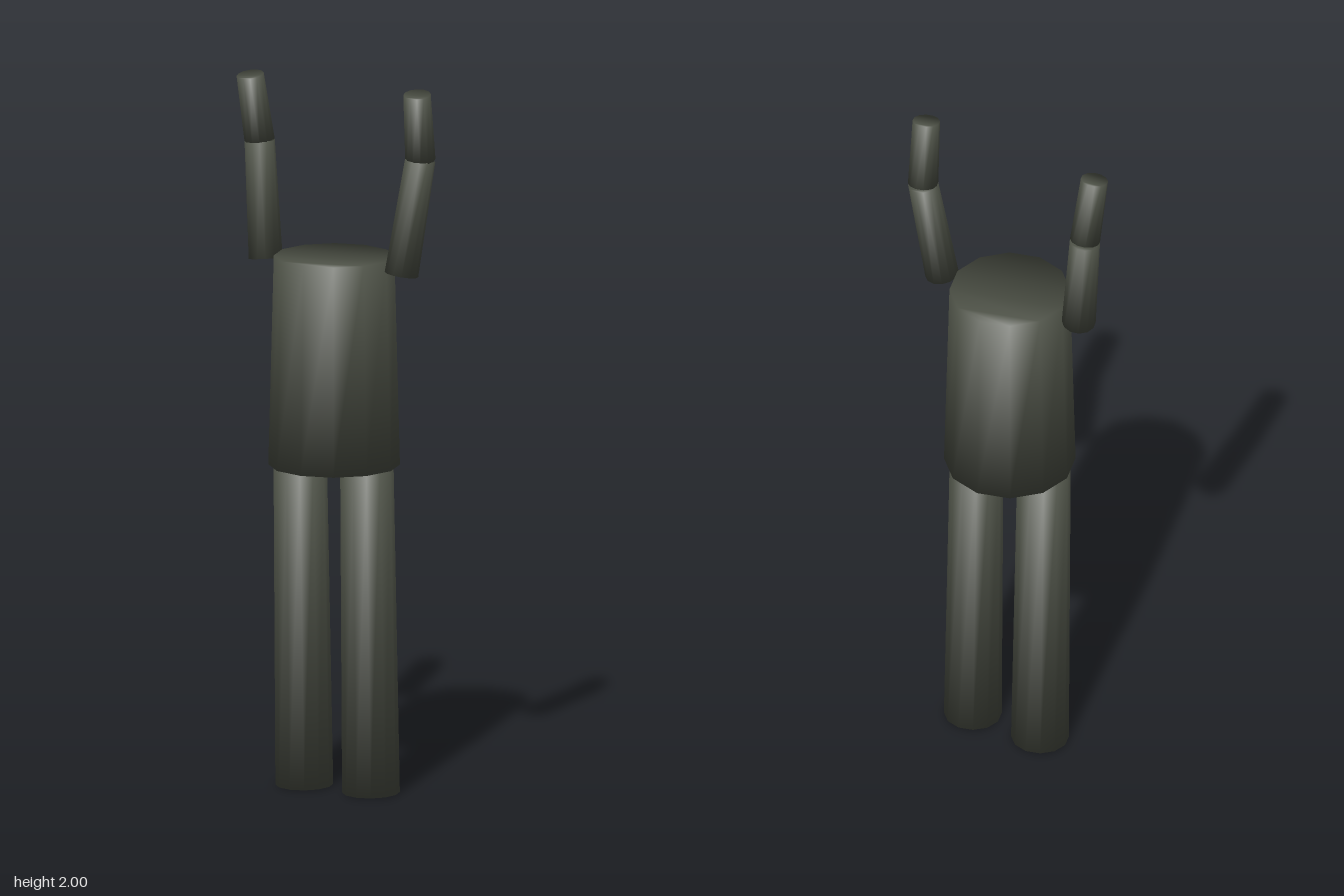
import * as THREE from 'three';

const SIDES = 12;

// Tapered, softly shaded limb from point a to point b, with rim normals shared by side and caps
function limb(name, a, b, ra, rb, material) {
  const start = new THREE.Vector3(...a), end = new THREE.Vector3(...b);
  const axis = end.clone().sub(start);
  const length = axis.length();
  const pos = [], nor = [], index = [];
  [[ra, 0, -0.8], [rb, length, 0.8]].forEach(([r, y, tilt]) => {
    for (let i = 0; i < SIDES; i++) {
      const t = (i / SIDES) * Math.PI * 2;
      const n = new THREE.Vector3(Math.sin(t), tilt, Math.cos(t)).normalize();
      pos.push(r * Math.sin(t), y, r * Math.cos(t));
      nor.push(n.x, n.y, n.z);
    }
  });
  for (let i = 0; i < SIDES; i++) {
    const j = (i + 1) % SIDES;
    index.push(i, j, SIDES + j, i, SIDES + j, SIDES + i);
  }
  // Caps cut into strips across the rim
  const cap = (o, flip) => {
    const tri = (p, q, r) => index.push(o + p, o + (flip ? r : q), o + (flip ? q : r));
    let l = SIDES - 1, r = 1;
    tri(0, 1, l);
    while (l - r > 1) {
      tri(r, r + 1, l);
      r++;
      if (l - r > 1) {
        tri(r, l - 1, l);
        l--;
      }
    }
  };
  cap(0, true);
  cap(SIDES, false);

  const geometry = new THREE.BufferGeometry();
  geometry.setAttribute('position', new THREE.Float32BufferAttribute(pos, 3));
  geometry.setAttribute('normal', new THREE.Float32BufferAttribute(nor, 3));
  geometry.setIndex(index);
  const mesh = new THREE.Mesh(geometry, material);
  mesh.name = name;
  mesh.position.copy(start);
  mesh.quaternion.setFromUnitVectors(new THREE.Vector3(0, 1, 0), axis.normalize());
  return mesh;
}

export function createModel() {
  const model = new THREE.Group();
  model.name = 'figure';
  const skin = new THREE.MeshStandardMaterial({ color: 0x4e5247 });
  skin.name = 'dark olive';

  // Torso, wider at the hips
  model.add(limb('torso', [0, 0.92, 0], [0, 1.51, 0], 0.182, 0.167, skin));

  for (const [side, s] of [['left', 1], ['right', -1]]) {
    // Leg, leaning slightly back towards the foot
    model.add(limb(side + 'Leg', [s * 0.107, 0.002, -0.019], [s * 0.107, 0.925, 0.003], 0.08, 0.074, skin));
    // Raised arm, bent at the elbow
    model.add(limb(side + 'UpperArm', [s * 0.218, 1.48, 0.003], [s * 0.258, 1.803, -0.032], 0.047, 0.042, skin));
    model.add(limb(side + 'Forearm', [s * 0.258, 1.803, -0.032], [s * 0.268, 1.994, 0.003], 0.042, 0.038, skin));
  }
  return model;
}
